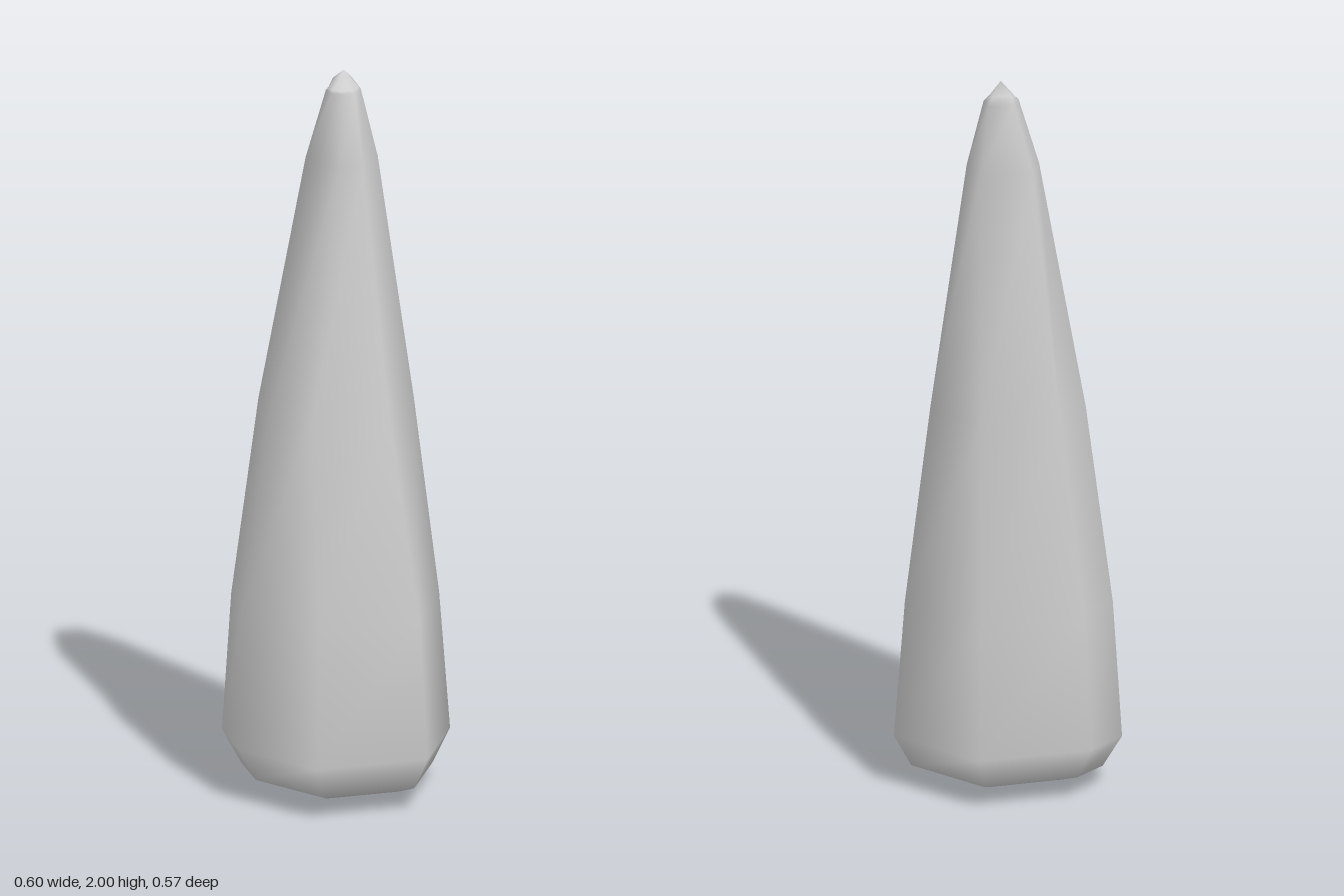
import * as THREE from 'three';

// Outline of the widest ring as [x, z], clockwise seen from above
const base = [[0.115, -0.285], [0.3, -0.033], [0.17, 0.252], [-0.142, 0.283], [-0.3, 0.04], [-0.298, -0.162], [-0.195, -0.255]];
const scaled = (s) => base.map(([x, z]) => [x * s, z * s]);
const level = (points, y) => points.map(([x, z]) => [x, y, z]);

// Cross-sections from the rounded foot to the leaning tip
const rings = [
  level(scaled(0.66), 0.04),
  level(scaled(0.84), 0.06),
  level(base, 0.15),
  level([[0.11, -0.265], [0.27, -0.033], [0.153, 0.23], [-0.13, 0.255], [-0.285, 0.02], [-0.275, -0.152], [-0.18, -0.24]], 0.53),
  level([[0.1, -0.225], [0.2, -0.033], [0.09, 0.14], [-0.12, 0.135], [-0.212, 0.022], [-0.207, -0.122], [-0.12, -0.205]], 1.08),
  level([[0.085, -0.135], [0.1, -0.03], [0.04, 0.048], [-0.025, 0.052], [-0.068, 0.0], [-0.092, -0.06], [-0.06, -0.135]], 1.76),
  level([[0.055, -0.1], [0.058, -0.05], [0.03, -0.002], [0.0, -0.002], [-0.03, -0.02], [-0.036, -0.06], [-0.015, -0.1]], 1.945),
  // the front of this ring steps back as a small ledge under the tip
  [[0.042, 1.968, -0.09], [0.05, 1.95, -0.05], [0.025, 1.945, -0.036], [0.0, 1.945, -0.036], [-0.022, 1.947, -0.04], [-0.03, 1.95, -0.06], [-0.01, 1.968, -0.09]],
];

function loft(sections, bottom, top) {
  const n = sections[0].length;
  const points = [...sections.flat(), bottom, top];
  const bottomId = points.length - 2;
  const topId = points.length - 1;
  const last = (sections.length - 1) * n;
  const index = [];
  for (let j = 0; j < n; j++) {
    const k = (j + 1) % n;
    for (let r = 0; r < last; r += n) {
      index.push(r + j, r + n + j, r + k, r + k, r + n + j, r + n + k);
    }
    index.push(bottomId, j, k, topId, last + k, last + j);
  }
  const geometry = new THREE.BufferGeometry();
  geometry.setAttribute('position', new THREE.Float32BufferAttribute(points.flat(), 3));
  geometry.setIndex(index);
  geometry.computeVertexNormals();
  return geometry;
}

export function createModel() {
  const group = new THREE.Group();
  group.name = 'stoneSpike';
  const stone = new THREE.MeshStandardMaterial({ color: 0xcccccc });
  stone.name = 'pale grey stone';

  const spike = new THREE.Mesh(loft(rings, [0, 0, 0], [0.012, 2, -0.055]), stone);
  spike.name = 'spike';
  group.add(spike);
  return group;
}
